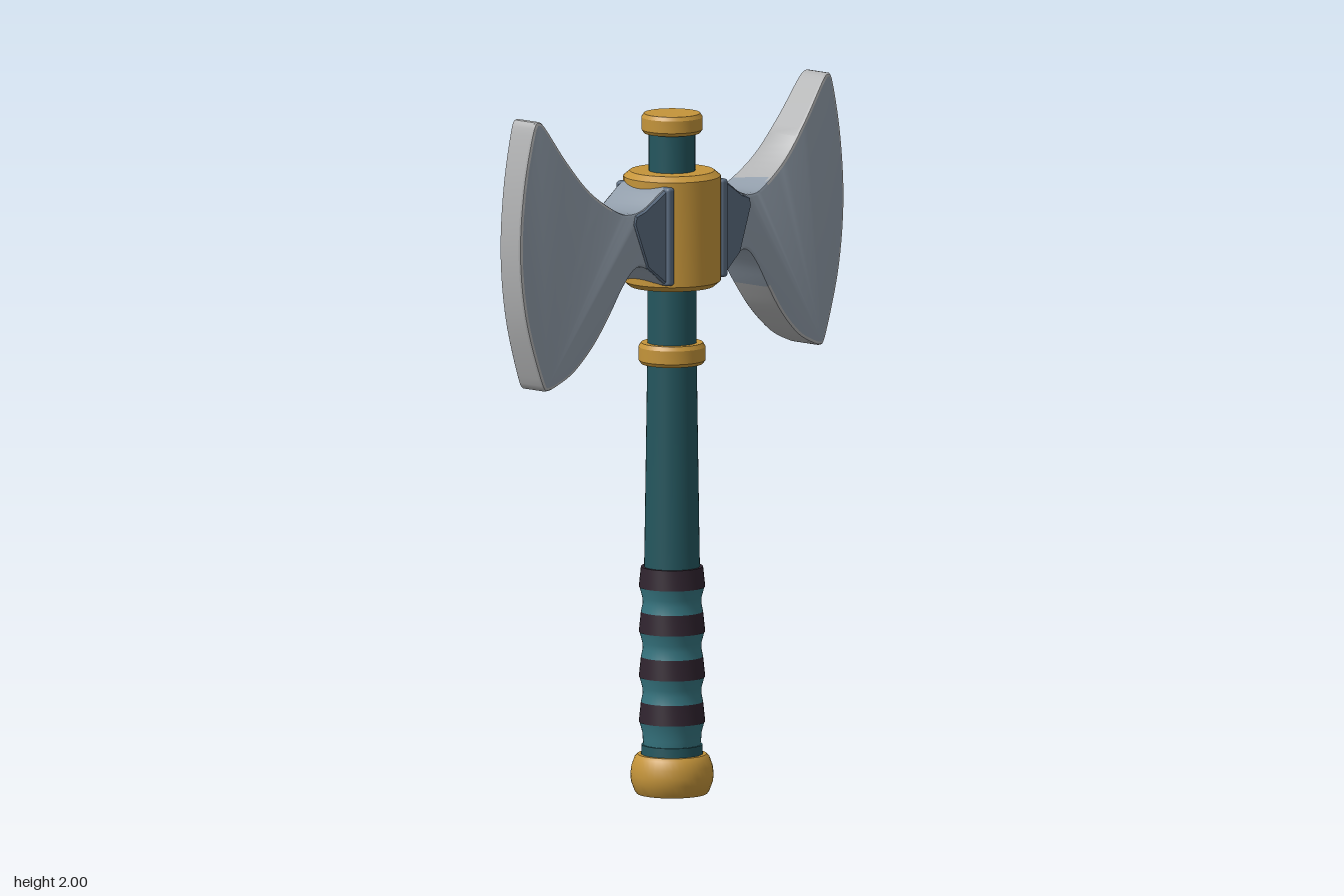
import * as THREE from 'three';
import { toCreasedNormals } from 'three/addons/utils/BufferGeometryUtils.js';
import { RoundedBoxGeometry } from 'three/addons/geometries/RoundedBoxGeometry.js';

const material = (name, color) => {
  const m = new THREE.MeshStandardMaterial({ color });
  m.name = name;
  return m;
};
const vectors = (list) => list.map(([x, y]) => new THREE.Vector2(x, y));

// Turned part from [radius, height] pairs, bottom to top
function turned(name, profile, mat) {
  const geo = toCreasedNormals(new THREE.LatheGeometry(vectors(profile), 40), 0.5);
  const mesh = new THREE.Mesh(geo, mat);
  mesh.name = name;
  return mesh;
}

// Bevelled slab whose half thickness shrinks evenly outwards along x
function wedge(shape, bevel, extra) {
  const geo = new THREE.ExtrudeGeometry(shape, {
    depth: 1.7, bevelThickness: 0.15, bevelSize: bevel, bevelOffset: -bevel,
    bevelSegments: 2, curveSegments: 1,
  });
  geo.translate(0, 0, -0.85);
  const p = geo.attributes.position;
  for (let i = 0; i < p.count; i++) {
    p.setZ(i, p.getZ(i) * (0.099 - 0.088 * p.getX(i) + extra));
  }
  return toCreasedNormals(geo, 0.45);
}

// Blade outline: top curve, cutting edge, bottom curve
function bladeShape() {
  const curve = (pts, n) => new THREE.SplineCurve(vectors(pts)).getPoints(n);
  const top = curve([[0.05, 1.765], [0.12, 1.757], [0.2, 1.708], [0.25, 1.697], [0.3, 1.71],
    [0.4, 1.777], [0.49, 1.875], [0.57, 1.98], [0.595, 1.998]], 40);
  const edge = curve([[0.595, 1.998], [0.617, 1.975], [0.654, 1.81], [0.668, 1.62],
    [0.645, 1.43], [0.585, 1.245], [0.56, 1.222]], 32);
  const bottom = curve([[0.56, 1.222], [0.53, 1.23], [0.46, 1.265], [0.385, 1.335], [0.325, 1.415],
    [0.275, 1.49], [0.23, 1.535], [0.19, 1.53], [0.12, 1.478], [0.05, 1.47]], 40);
  return new THREE.Shape([...top, ...edge.slice(1), ...bottom.slice(1)].reverse());
}

// Rim triangles past the neck get the edge material, the rest stays steel
function splitRim(geo) {
  const p = geo.attributes.position;
  const [caps] = geo.groups;
  const slots = [];
  for (let i = 0; i < p.count; i += 3) {
    const x = (p.getX(i) + p.getX(i + 1) + p.getX(i + 2)) / 3;
    slots.push(i >= caps.start + caps.count && x > 0.325 ? 1 : 0);
  }
  geo.clearGroups();
  for (let start = 0, i = 1; i <= slots.length; i++) {
    if (i === slots.length || slots[i] !== slots[start]) {
      geo.addGroup(start * 3, (i - start) * 3, slots[start]);
      start = i;
    }
  }
  return geo;
}

export function createModel() {
  const gold = material('gold', 0xc4943a);
  const shaftTeal = material('dark teal shaft', 0x24565e);
  const gripTeal = material('teal grip', 0x367580);
  const wrap = material('dark wrap', 0x30242f);
  const steel = material('steel', 0x909ca9);
  const edgeSteel = material('bright edge', 0xb0b1b2);
  const darkSteel = material('dark steel', 0x5b6c80);

  const model = new THREE.Group();
  model.name = 'doubleAxe';

  // Shaft and gold fittings
  model.add(
    turned('pommel', [[0, 0], [0.1, 0], [0.106, 0.008], [0.116, 0.035], [0.118, 0.055],
      [0.115, 0.08], [0.106, 0.105], [0.098, 0.113], [0, 0.113]], gold),
    turned('gripFoot', [[0.088, 0.1], [0.086, 0.14], [0, 0.14]], shaftTeal),
    turned('shaft', [[0.08, 0.6], [0.078, 0.7], [0.07, 1.25], [0.07, 1.5], [0.066, 1.75], [0.066, 1.91]], shaftTeal),
    turned('shaftRing', [[0.06, 1.232], [0.088, 1.232], [0.095, 1.242], [0.095, 1.28],
      [0.088, 1.292], [0.06, 1.292]], gold),
    turned('headCollar', [[0.06, 1.455], [0.12, 1.455], [0.138, 1.47], [0.138, 1.77],
      [0.12, 1.785], [0.06, 1.785]], gold),
    turned('topCap', [[0, 1.893], [0.08, 1.893], [0.087, 1.903], [0.087, 1.938],
      [0.08, 1.949], [0, 1.949]], gold),
  );

  // Grip: dark bands between waisted teal sections
  const grip = new THREE.Group();
  grip.name = 'grip';
  for (let i = 0; i < 4; i++) {
    const y = 0.205 + i * 0.129;
    grip.add(turned('gripBand', [[0.07, y], [0.094, y], [0.088, y + 0.058], [0.07, y + 0.058]], wrap));
    const low = i === 0 ? 0.135 : y - 0.071;
    const mid = (low + y) / 2;
    grip.add(turned('gripSection', [[i ? 0.088 : 0.08, low], [0.083, mid - 0.012],
      [0.084, mid + 0.005], [0.092, y]], gripTeal));
  }
  model.add(grip);

  // Two matching heads, the second turned half way round
  const bladeGeo = splitRim(wedge(bladeShape(), 0.01, 0));
  const cheekGeo = wedge(new THREE.Shape(vectors([[0.08, 1.475], [0.125, 1.483], [0.192, 1.535],
    [0.242, 1.665], [0.236, 1.69], [0.2, 1.702], [0.125, 1.75], [0.08, 1.758]])), 0.005, 0.005);
  const barGeo = new RoundedBoxGeometry(0.028, 0.282, 0.045, 3, 0.01);
  for (const side of ['left', 'right']) {
    const head = new THREE.Group();
    head.name = side + 'Head';
    const blade = new THREE.Mesh(bladeGeo, [steel, edgeSteel]);
    blade.name = 'blade';
    const cheek = new THREE.Mesh(cheekGeo, darkSteel);
    cheek.name = 'cheekPlate';
    head.add(blade, cheek);
    for (const z of [-0.082, 0.082]) {
      const bar = new THREE.Mesh(barGeo, darkSteel);
      bar.name = 'cheekBar';
      bar.position.set(0.11, 1.617, z);
      head.add(bar);
    }
    if (side === 'right') head.rotation.y = Math.PI;
    model.add(head);
  }
  return model;
}
